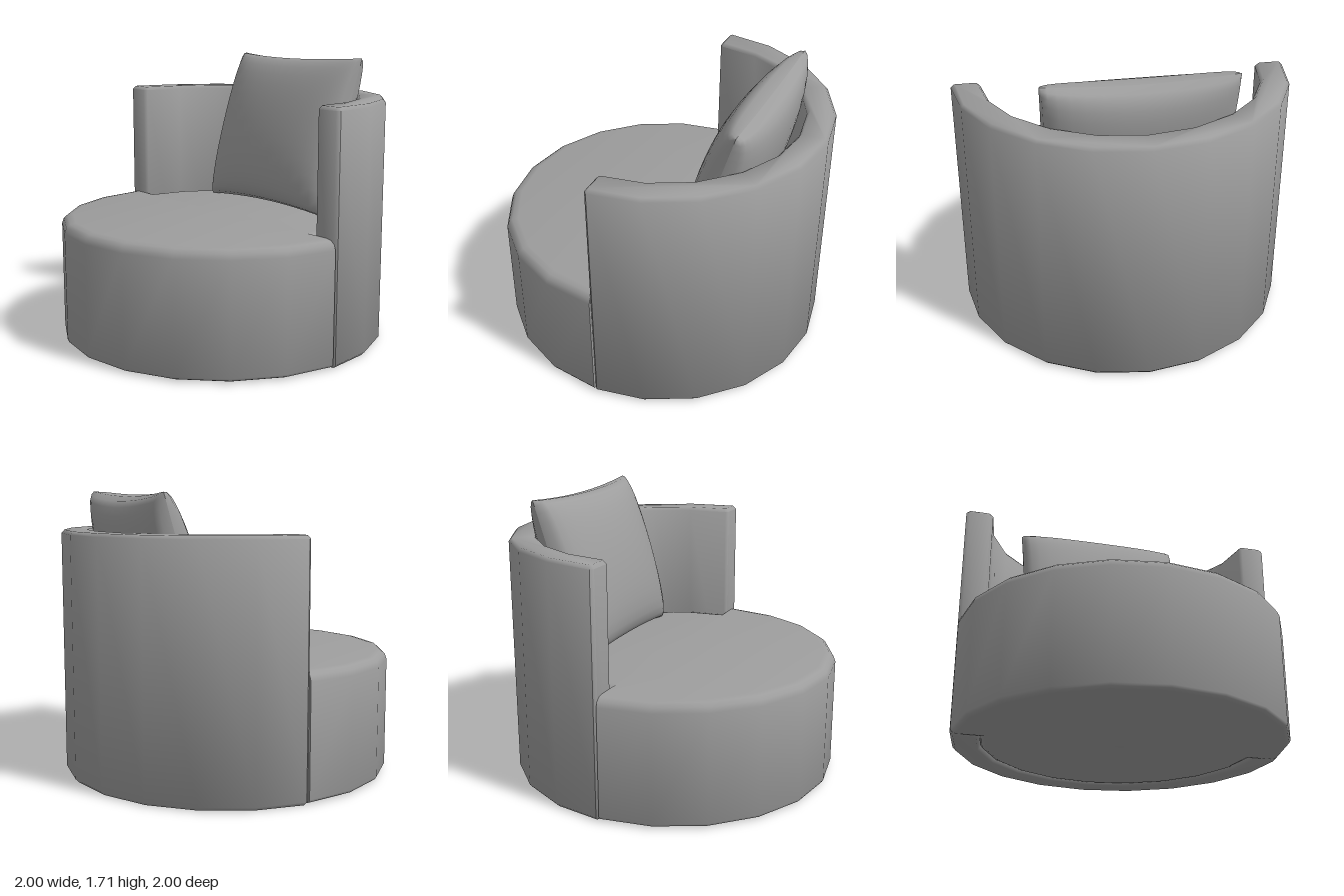
import * as THREE from 'three';
import { toCreasedNormals } from 'three/addons/utils/BufferGeometryUtils.js';

const material = new THREE.MeshStandardMaterial({ color: 0x9d9d9d });
const INNER = 0.83; // radius where the seat meets the backrest
const STEPS = 10;   // facets per half circle
const CREASE = 0.9; // edges sharper than this stay hard

// Seat: full-radius front half, narrower back half, stacked rings of [inset, y]
function seatGeometry() {
  const levels = [
    [1, 0.005], [0.03, 0.005], [0.008, 0.015], [0, 0.03],
    [0, 0.69], [0.012, 0.722], [0.035, 0.741], [0.07, 0.748], [1, 0.748],
  ];
  const outline = [];
  for (let half = 0; half < 2; half++) {
    for (let i = 0; i <= STEPS; i++) {
      outline.push([half ? INNER : 1, Math.PI * (half + i / STEPS)]);
    }
  }
  const n = outline.length;
  const positions = [];
  const index = [];
  levels.forEach(([inset, y], l) => {
    outline.forEach(([radius, angle], i) => {
      const r = Math.max(0, radius - inset);
      positions.push(r * Math.cos(angle), y, r * Math.sin(angle));
      if (l === 0) return;
      const j = (i + 1) % n;
      const a = (l - 1) * n + i, b = (l - 1) * n + j;
      const c = l * n + i, d = l * n + j;
      index.push(a, c, b, b, c, d);
    });
  });
  const geometry = new THREE.BufferGeometry();
  geometry.setAttribute('position', new THREE.Float32BufferAttribute(positions, 3));
  geometry.setIndex(index);
  return toCreasedNormals(geometry, CREASE);
}

// Backrest: half ring with softened ends, extruded upwards
function backrestGeometry() {
  const bevel = 0.02, height = 1.48, chamfer = 0.018;
  const points = [new THREE.Vector2(1 - chamfer, 0)];
  const arc = (radius, i) => {
    const a = (Math.PI * i) / STEPS;
    const end = i === 0 || i === STEPS;
    points.push(new THREE.Vector2(radius * Math.cos(a), end ? chamfer : radius * Math.sin(a)));
  };
  for (let i = 0; i <= STEPS; i++) arc(1, i);
  points.push(new THREE.Vector2(-1 + chamfer, 0), new THREE.Vector2(-INNER - chamfer, 0));
  for (let i = STEPS; i >= 0; i--) arc(INNER, i);
  points.push(new THREE.Vector2(INNER + chamfer, 0));

  const geometry = new THREE.ExtrudeGeometry(new THREE.Shape(points), {
    depth: height - 2 * bevel,
    bevelThickness: bevel,
    bevelSize: bevel * 0.9,
    bevelOffset: -bevel * 0.9,
    bevelSegments: 1,
  });
  geometry.rotateX(-Math.PI / 2);
  geometry.translate(0, bevel, 0);
  return toCreasedNormals(geometry, CREASE);
}

// One bulging face of the cushion, with corners drawn out to points
function cushionFaceGeometry() {
  const geometry = new THREE.PlaneGeometry(2, 2, 16, 16);
  const p = geometry.attributes.position;
  for (let i = 0; i < p.count; i++) {
    const s = (p.getX(i) * Math.PI) / 2;
    const t = (p.getY(i) * Math.PI) / 2;
    const u = Math.sin(s), v = Math.sin(t);
    p.setXYZ(
      i,
      u * (0.535 + 0.012 * v * v),
      v * (0.47 + 0.03 * u * u),
      0.187 * Math.max(0, Math.cos(s) * Math.cos(t)) ** 0.65,
    );
  }
  geometry.computeVertexNormals();
  return geometry;
}

export function createModel() {
  const model = new THREE.Group();
  model.name = 'roundArmchair';

  const add = (parent, name, geometry) => {
    const mesh = new THREE.Mesh(geometry, material);
    mesh.name = name;
    parent.add(mesh);
    return mesh;
  };

  add(model, 'seat', seatGeometry());
  add(model, 'backrest', backrestGeometry());

  // Cushion leaning against the backrest
  const cushion = new THREE.Group();
  cushion.name = 'cushion';
  const face = cushionFaceGeometry();
  add(cushion, 'cushionFront', face);
  add(cushion, 'cushionBack', face).rotation.y = Math.PI;
  cushion.position.set(0, 1.228, -0.512);
  cushion.rotation.x = -0.295;
  model.add(cushion);

  return model;
}
